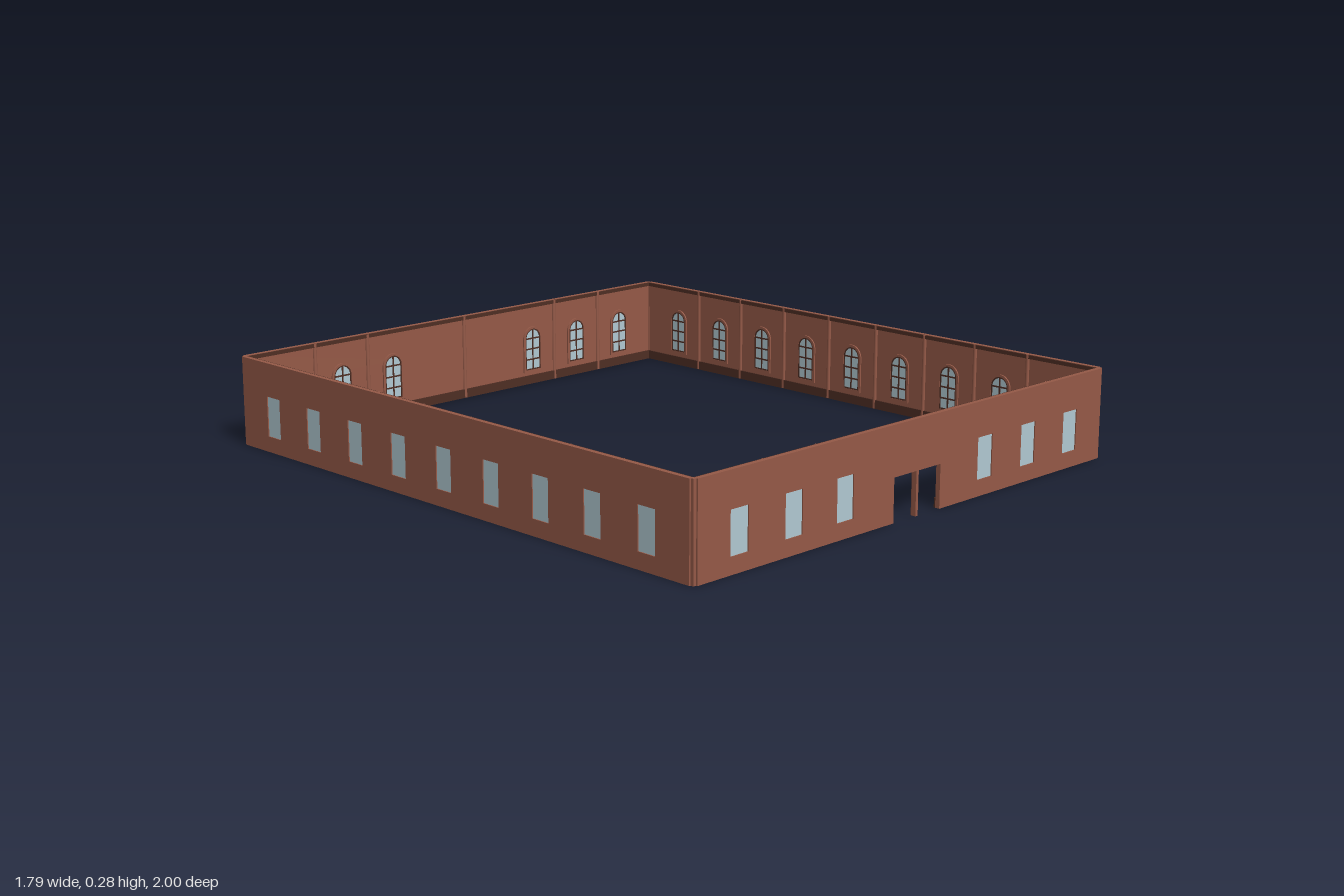
import * as THREE from 'three';

const brick = new THREE.MeshStandardMaterial({ color: 0x965a48 });
brick.name = 'brick';
const dark = new THREE.MeshStandardMaterial({ color: 0x4f2e24 });
dark.name = 'dark brown trim';
const glass = new THREE.MeshStandardMaterial({ color: 0xb2cad3 });
glass.name = 'pale glass';

const H = 0.285, T = 0.015;          // wall height and thickness
const SILL = 0.05, HEAD = 0.178;     // window opening
const DOOR = { inner: 0.005, outer: 0.102, top: 0.133 };

function add(group, name, geometry, material, x = 0, y = 0, z = 0) {
  const mesh = new THREE.Mesh(geometry, material);
  mesh.name = name;
  mesh.position.set(x, y, z);
  group.add(mesh);
  return mesh;
}

const extrude = (shape, depth) =>
  new THREE.ExtrudeGeometry(shape, { depth, bevelEnabled: false, curveSegments: 12 });

// Window outline with a round head
function arch(PathType, half, bottom, spring) {
  const p = new PathType();
  p.moveTo(-half, bottom);
  p.lineTo(half, bottom);
  p.lineTo(half, spring);
  p.absarc(0, spring, half, 0, Math.PI, false);
  p.lineTo(-half, bottom);
  return p;
}

// Window: flat pane outside, arched sash and surround inside
function makeWindow(half) {
  const g = new THREE.Group();
  g.name = 'window';
  add(g, 'outerPane', new THREE.BoxGeometry(half * 2, HEAD - SILL, 0.003), glass,
    0, (SILL + HEAD) / 2, -0.005);
  const spring = 0.162;
  add(g, 'archedPane', extrude(arch(THREE.Shape, half, SILL, spring), 0.002), glass, 0, 0, -T - 0.002);

  const surround = arch(THREE.Shape, half + 0.008, SILL - 0.008, spring);
  surround.holes.push(arch(THREE.Path, half, SILL, spring));
  add(g, 'surround', extrude(surround, 0.005), brick, 0, 0, -T - 0.005);
  const sash = arch(THREE.Shape, half, SILL, spring);
  sash.holes.push(arch(THREE.Path, half - 0.004, SILL + 0.004, spring));
  add(g, 'sash', extrude(sash, 0.002), dark, 0, 0, -T - 0.004);

  // Glazing bars
  const top = spring + half;
  add(g, 'uprightBar', new THREE.BoxGeometry(0.005, top - SILL, 0.002), dark, 0, (top + SILL) / 2, -T - 0.003);
  for (let i = 1; i <= 3; i++) {
    add(g, 'crossBar', new THREE.BoxGeometry(half * 2, 0.005, 0.002), dark,
      0, SILL + i * (spring - SILL) / 3, -T - 0.003);
  }
  return g;
}

// Wall with its outer face on z = 0 and its inner face on z = -T
function makeWall(name, half, windows, windowHalf, pilasters, hasDoor) {
  const g = new THREE.Group();
  g.name = name;

  const s = new THREE.Shape();
  s.moveTo(-half, 0);
  if (hasDoor) {
    for (const [a, b] of [[-DOOR.outer, -DOOR.inner], [DOOR.inner, DOOR.outer]]) {
      s.lineTo(a, 0);
      s.lineTo(a, DOOR.top);
      s.lineTo(b, DOOR.top);
      s.lineTo(b, 0);
    }
  }
  s.lineTo(half, 0);
  s.lineTo(half, H);
  s.lineTo(-half, H);
  s.closePath();
  for (const u of windows) {
    const hole = new THREE.Path();
    hole.moveTo(u - windowHalf, SILL);
    hole.lineTo(u - windowHalf, HEAD);
    hole.lineTo(u + windowHalf, HEAD);
    hole.lineTo(u + windowHalf, SILL);
    hole.closePath();
    s.holes.push(hole);
    const w = makeWindow(windowHalf);
    w.position.x = u;
    g.add(w);
  }
  add(g, 'wallPanel', extrude(s, T), brick, 0, 0, -T);

  // Inside trim
  const inside = half - 0.001;
  add(g, 'crown', new THREE.BoxGeometry(inside * 2, 0.012, 0.005), dark, 0, H - 0.007, -T - 0.0025);
  const runs = hasDoor ? [[-inside, -DOOR.outer], [DOOR.outer, inside]] : [[-inside, inside]];
  for (const [a, b] of runs) {
    add(g, 'baseboard', new THREE.BoxGeometry(b - a, 0.03, 0.005), dark, (a + b) / 2, 0.015, -T - 0.0025);
  }
  for (const u of pilasters) {
    const r = hasDoor && u === 0 ? 0.005 : 0.007;
    add(g, 'pilaster', new THREE.CylinderGeometry(r, r, H - 0.002, 10), brick, u, H / 2, -T);
  }
  return g;
}

export function createModel() {
  const model = new THREE.Group();
  model.name = 'walledBuilding';

  const endWindows = [-0.725, -0.515, -0.308, 0.308, 0.515, 0.725];
  const endPilasters = [-0.62, -0.41, 0, 0.41, 0.62];
  const sideWindows = [], sidePilasters = [];
  for (let i = -4; i <= 4; i++) sideWindows.push(i * 0.207);
  for (let i = -3.5; i <= 3.5; i++) sidePilasters.push(i * 0.207);

  const front = makeWall('frontWall', 0.88, endWindows, 0.034, endPilasters, true);
  front.position.z = 1;
  const back = makeWall('backWall', 0.88, endWindows, 0.034, endPilasters, false);
  back.position.z = -1;
  back.rotation.y = Math.PI;
  model.add(front, back);

  for (const side of [1, -1]) {
    const wall = makeWall(side > 0 ? 'leftWall' : 'rightWall', 0.985, sideWindows, 0.033, sidePilasters, false);
    wall.position.x = side * 0.895;
    wall.rotation.y = side * Math.PI / 2;
    model.add(wall);

    // Corner posts filling the notches between walls
    for (const end of [1, -1]) {
      add(model, 'cornerPost', new THREE.BoxGeometry(0.012, H, 0.012), brick,
        side * 0.884, H / 2, end * 0.989);
    }
  }
  return model;
}
